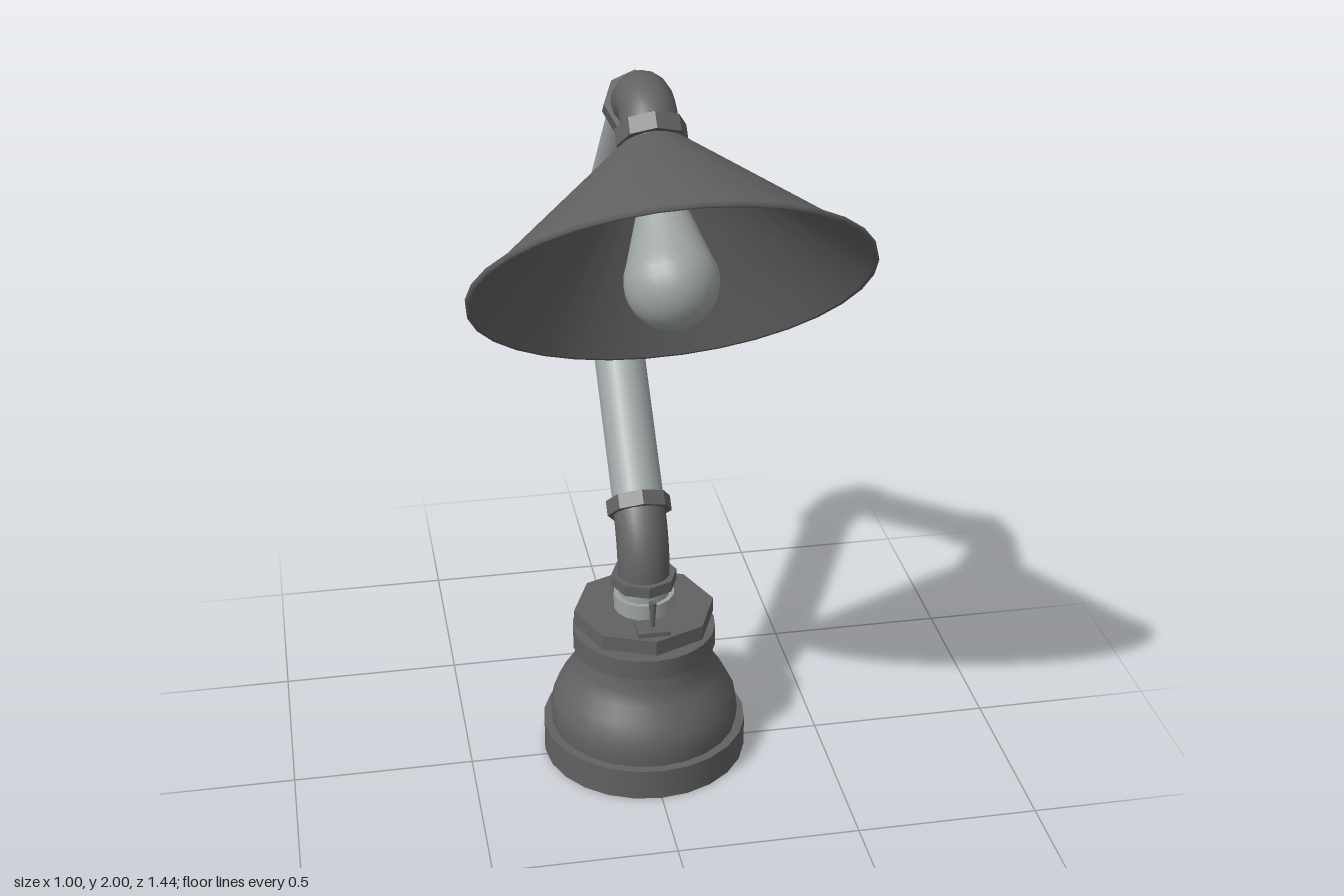
import * as THREE from 'three';

const darkMetal = new THREE.MeshStandardMaterial({ color: 0x626263 });
const paleMetal = new THREE.MeshStandardMaterial({ color: 0x9da3a3 });
const R = 0.072; // pipe radius
const BASE_Z = -0.025;

function add(parent, name, geometry, material, y = 0, z = 0) {
  const mesh = new THREE.Mesh(geometry, material);
  mesh.name = name;
  mesh.position.set(0, y, z);
  parent.add(mesh);
  return mesh;
}

// Faceted eight-sided ring or nut
function octagon(radius, height) {
  const g = new THREE.CylinderGeometry(radius, radius, height, 8).toNonIndexed();
  g.computeVertexNormals();
  return g;
}

function disc(radius, height, sides = 24) {
  return new THREE.CylinderGeometry(radius, radius, height, sides);
}

function lathe(points, sides) {
  return new THREE.LatheGeometry(points.map(([r, y]) => new THREE.Vector2(r, y)), sides);
}

// Pipe bend in the y-z plane; angles in degrees, 0 pointing to the back
function elbow(parent, name, y, z, bend, start, arc) {
  const rad = THREE.MathUtils.degToRad;
  const g = new THREE.TorusGeometry(bend, R + 0.001, 16, 10, rad(arc));
  g.rotateZ(rad(start)).rotateY(Math.PI / 2);
  add(parent, name, g, darkMetal, y, z);
}

// Straight pipe between two [y, z] points with a collar at each end
function arm(parent, name, a, b) {
  const dy = b[0] - a[0], dz = b[1] - a[1];
  const length = Math.hypot(dy, dz);
  const group = new THREE.Group();
  group.name = name;
  group.position.set(0, (a[0] + b[0]) / 2, (a[1] + b[1]) / 2);
  group.rotation.x = Math.atan2(dz, dy);
  add(group, name + 'Pipe', disc(R, length, 16), paleMetal);
  for (const s of [-1, 1]) {
    add(group, name + 'Collar', octagon(0.09, 0.042), darkMetal, s * (length / 2 - 0.008));
  }
  parent.add(group);
}

export function createModel() {
  const lamp = new THREE.Group();
  lamp.name = 'pipeDeskLamp';

  // Bell-shaped base
  const base = new THREE.Group();
  base.name = 'base';
  base.position.z = BASE_Z;
  lamp.add(base);
  add(base, 'footRing', disc(0.287, 0.09), darkMetal, 0.045);
  add(base, 'bell', lathe([
    [0.262, 0.085], [0.266, 0.13], [0.258, 0.17], [0.238, 0.21],
    [0.212, 0.25], [0.194, 0.285], [0.187, 0.34],
  ], 24), darkMetal);
  add(base, 'upperRing', disc(0.2, 0.06), darkMetal, 0.365);
  add(base, 'capNeck', disc(0.095, 0.03), darkMetal, 0.402);
  add(base, 'capNut', octagon(0.197, 0.044), darkMetal, 0.433);

  // Stem
  add(base, 'stemFoot', disc(0.085, 0.045, 16), paleMetal, 0.477);
  add(base, 'stemPipe', disc(R, 0.09, 16), paleMetal, 0.5);
  add(base, 'stemCollar', octagon(0.092, 0.032), darkMetal, 0.545);

  // Toggle switch
  const toggle = new THREE.Group();
  toggle.name = 'toggleSwitch';
  toggle.position.set(0, 0.455, 0.112);
  lamp.add(toggle);
  add(toggle, 'switchPlate', new THREE.BoxGeometry(0.09, 0.014, 0.07), darkMetal, 0.007);
  add(toggle, 'switchLever',
    new THREE.CylinderGeometry(0.011, 0.006, 0.076, 8), darkMetal, 0.052);

  // Bends and arms
  elbow(lamp, 'baseElbow', 0.545, -0.275, 0.25, 135, 45);
  arm(lamp, 'lowerArm', [0.722, -0.098], [1.23, -0.603]);
  elbow(lamp, 'middleElbow', 1.315, -0.518, 0.12, -45, 90);
  arm(lamp, 'upperArm', [1.4, -0.603], [1.893, -0.1]);
  elbow(lamp, 'topElbow', 1.808, -0.015, 0.12, 45, 90);

  // Lamp head: local y runs along the shade axis, forward and down
  const head = new THREE.Group();
  head.name = 'lampHead';
  head.position.set(0, 1.893, 0.07);
  head.rotation.x = Math.PI * 0.75;
  lamp.add(head);
  add(head, 'headCollar', octagon(0.09, 0.045), darkMetal, 0.022);
  add(head, 'shadeNeck', disc(R, 0.06, 16), darkMetal, 0.04);

  // Thin conical shade: outside, rim and inside, split for crisp edges
  add(head, 'shadeOutside', lathe([[0.488, 0.418], [0.085, 0.052], [0, 0.052]].reverse()
    .reverse(), 32), darkMetal).material = darkMetal;
  add(head, 'shadeInside', lathe([[0, 0.062], [0.08, 0.062], [0.49, 0.428]], 32), darkMetal);
  add(head, 'shadeRim', lathe([
    [0.49, 0.428], [0.5, 0.428], [0.5, 0.416], [0.486, 0.416],
  ], 32), darkMetal);
  for (const part of head.children) {
    if (part.name.startsWith('shade') && part.name !== 'shadeNeck') orient(part);
  }

  // Socket and bulb
  add(head, 'socketBase', octagon(0.078, 0.05), darkMetal, 0.085);
  add(head, 'socketSleeve', disc(0.06, 0.06, 16), darkMetal, 0.13);
  const bulb = [[0.05, 0.14], [0.054, 0.18], [0.068, 0.24], [0.09, 0.31]];
  for (let i = 0; i <= 10; i++) {
    const t = -0.45 + (i / 10) * (Math.PI / 2 + 0.45);
    bulb.push([Math.max(0, 0.117 * Math.cos(t)), 0.41 + 0.117 * Math.sin(t)]);
  }
  add(head, 'bulb', lathe(bulb, 24), paleMetal);
  return lamp;
}

// Shade surfaces face one way only: outside away from the axis, inside towards the bulb
function orient(mesh) {
  const n = mesh.geometry.attributes.normal, p = mesh.geometry.attributes.position;
  const index = mesh.geometry.index;
  const want = mesh.name === 'shadeInside' ? 1 : -1;
  if (mesh.name === 'shadeRim') {
    mesh.material = rimMetal;
    return;
  }
  const v = [0, 1, 2].map(() => new THREE.Vector3());
  let facing = 0;
  for (let i = 0; i < index.count; i += 3) {
    v.forEach((q, k) => q.fromBufferAttribute(p, index.getX(i + k)));
    facing += v[1].clone().sub(v[0]).cross(v[2].clone().sub(v[0])).y;
  }
  if (Math.sign(facing) === want) return;
  for (let i = 0; i < index.count; i += 3) {
    const a = index.getX(i);
    index.setX(i, index.getX(i + 2));
    index.setX(i + 2, a);
  }
  for (let i = 0; i < n.count; i++) n.setXYZ(i, -n.getX(i), -n.getY(i), -n.getZ(i));
}

const rimMetal = new THREE.MeshStandardMaterial({ color: 0x626263, side: THREE.DoubleSide });
